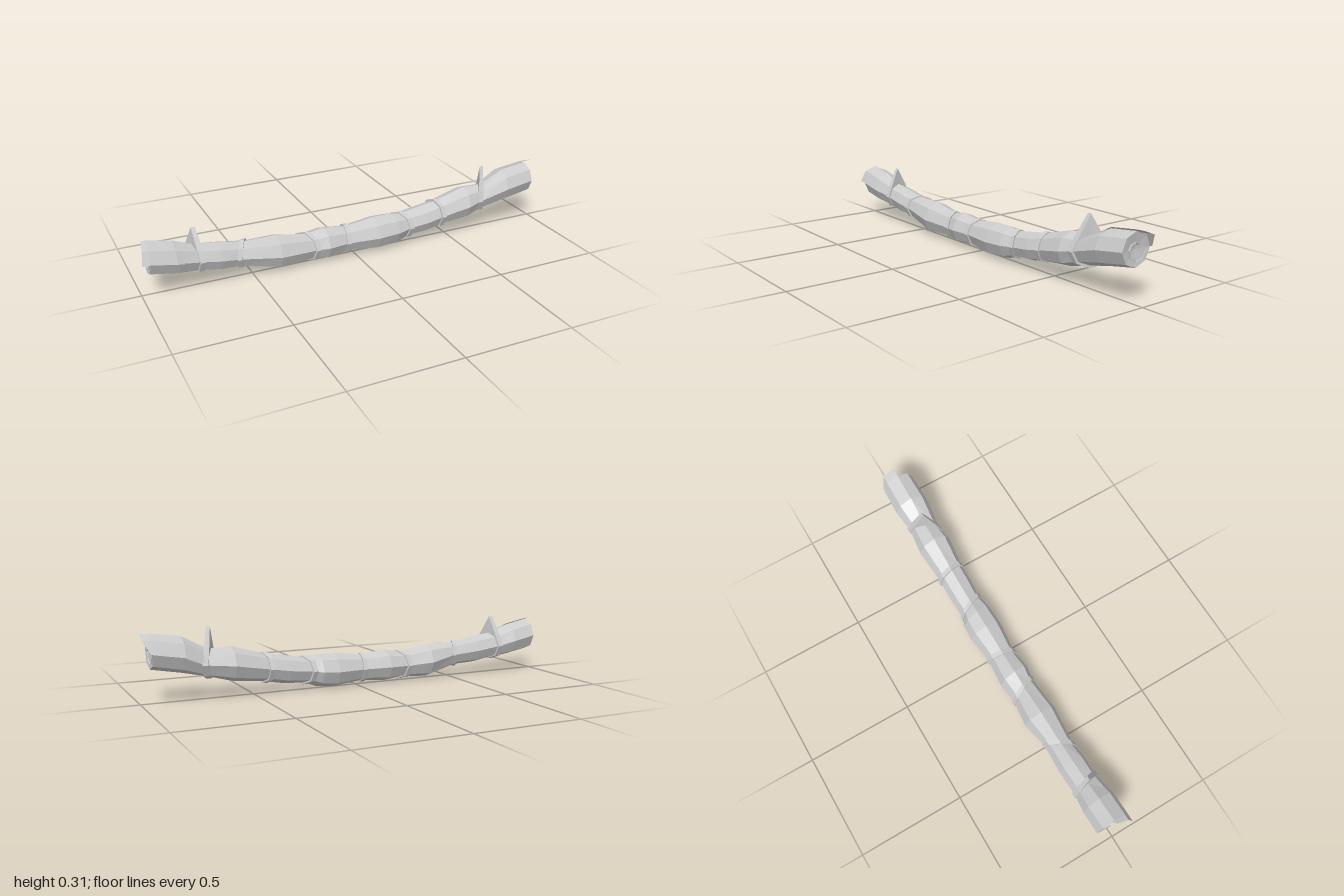
import * as THREE from 'three';

const SIDES = 8;
const mat = new THREE.MeshStandardMaterial({ color: 0xcccccc, flatShading: true });
const sheetMat = new THREE.MeshStandardMaterial({ color: 0xcccccc, flatShading: true, side: THREE.DoubleSide });

// Bundle sections: x, centre height, radius, slant of the section (x shift per z)
const sections = [
  [-0.965, 0.185, 0.076, 0], [-0.85, 0.163, 0.075, 0.1], [-0.755, 0.142, 0.062, 0.25],
  [-0.65, 0.127, 0.064, 0], [-0.54, 0.115, 0.056, -0.5], [-0.38, 0.092, 0.078, 0],
  [-0.23, 0.084, 0.062, 0.45], [-0.15, 0.086, 0.074, 0.1], [-0.035, 0.085, 0.061, -0.15],
  [0.11, 0.086, 0.078, 0], [0.2, 0.09, 0.074, 0.2], [0.255, 0.096, 0.059, 0.45],
  [0.36, 0.108, 0.064, 0.3], [0.445, 0.123, 0.063, 0.2], [0.6, 0.153, 0.077, 0],
  [0.7, 0.165, 0.062, -0.5], [0.82, 0.207, 0.077, -0.1], [0.955, 0.228, 0.073, 0],
];

// Octagon with a corner at the top, going over the front (+z) first
function octagon(x, cy, r, slant, tip = null) {
  const pts = [];
  for (let k = 0; k < SIDES; k++) {
    const a = (k / SIDES) * Math.PI * 2;
    const z = Math.sin(a) * r * 1.04;
    pts.push([x + slant * z, k === 0 && tip !== null ? tip : cy + Math.cos(a) * r, z]);
  }
  return pts;
}

// Skin closed or open rows of points, optionally capped with recessed fans
function loft(rows, { closed = true, recess = null } = {}) {
  const n = rows[0].length;
  const pos = rows.flat(2);
  const idx = [];
  for (let i = 0; i < rows.length - 1; i++) {
    for (let k = 0; k < (closed ? n : n - 1); k++) {
      const a = i * n + k, b = i * n + ((k + 1) % n);
      idx.push(a, b, a + n, b, b + n, a + n);
    }
  }
  if (recess !== null) {
    [[0, 1], [rows.length - 1, -1]].forEach(([row, dir]) => {
      const ring = rows[row];
      // the cap centre uses the side corners so a pulled-up top does not shift it
      const c = [(ring[2][0] + ring[6][0]) / 2 + dir * recess, (ring[2][1] + ring[6][1]) / 2, 0];
      const ci = pos.length / 3;
      pos.push(...c);
      for (let k = 0; k < n; k++) {
        const a = row * n + k, b = row * n + ((k + 1) % n);
        if (dir > 0) idx.push(ci, b, a); else idx.push(ci, a, b);
      }
    });
  }
  let g = new THREE.BufferGeometry();
  g.setAttribute('position', new THREE.Float32BufferAttribute(pos, 3));
  g.setIndex(idx);
  g = g.toNonIndexed();
  g.computeVertexNormals();
  return g;
}

export function createModel() {
  const group = new THREE.Group();
  const add = (name, geo, m = mat) => {
    const mesh = new THREE.Mesh(geo, m);
    mesh.name = name;
    group.add(mesh);
  };

  // Rolled cloth bundle
  add('clothRoll', loft(sections.map((s) => octagon(...s)), { recess: 0.01 }));

  // Ties pinching the roll; two of them rise into a pointed hanging loop
  const ties = [[2, 0.285], [4], [6], [8], [11], [13], [15, 0.322]];
  ties.forEach(([i, tip = null]) => {
    const [x, cy, r, slant] = sections[i];
    const hw = tip === null ? 0.011 : 0.013;
    const rows = [-hw, hw].map((d) => octagon(x + d, cy, r + 0.008, slant, tip));
    if (tip !== null) {
      rows[0][0][0] += 0.004;
      rows[1][0][0] -= 0.004;
    }
    add(tip === null ? 'tie' : 'hangingTie', loft(rows, { recess: 0 }));
  });

  // Loose outer layer at the left end, over the top and down the back
  const arc = (x, cy, r, from, to) => {
    const row = [];
    for (let k = from; k <= to; k++) {
      const a = (k / SIDES) * Math.PI * 2;
      row.push([x, cy + Math.cos(a) * r, Math.sin(a) * r * 1.03]);
    }
    return row;
  };
  const backEdge = arc(0.995, 0.232, 0.077, 6, 8);
  backEdge[0][0] = 0.965;
  add('leftFlap', loft([
    arc(0.73, 0.175, 0.064, 6, 8), arc(0.82, 0.208, 0.081, 6, 8),
    arc(0.955, 0.229, 0.078, 6, 8), backEdge,
  ], { closed: false }), sheetMat);

  // Loose outer layer at the right end, over the top and down the front
  const frontEdge = arc(-0.98, 0.186, 0.079, 0, 2);
  frontEdge[1][0] = -0.99;
  frontEdge[2][0] = -1.0;
  add('rightFlap', loft([
    frontEdge, arc(-0.965, 0.185, 0.079, 0, 2),
    arc(-0.85, 0.163, 0.079, 0, 2), arc(-0.765, 0.144, 0.063, 0, 2),
  ], { closed: false }), sheetMat);

  // Spiral cloth edge showing on each end of the roll
  [[0.955, 0.228, 1], [-0.965, 0.185, -1]].forEach(([x, cy, dir]) => {
    const rows = [[], []];
    for (let k = 0; k <= 9; k++) {
      const a = -dir * (k / SIDES) * Math.PI * 2;
      const r = 0.071 - k * 0.0055;
      const y = cy + Math.cos(a) * r, z = Math.sin(a) * r;
      rows[0].push([x - dir * 0.012, y, z]);
      rows[1].push([x + dir * 0.001, y, z]);
    }
    add('spiralEdge', loft(rows, { closed: false }), sheetMat);
  });

  return group;
}
